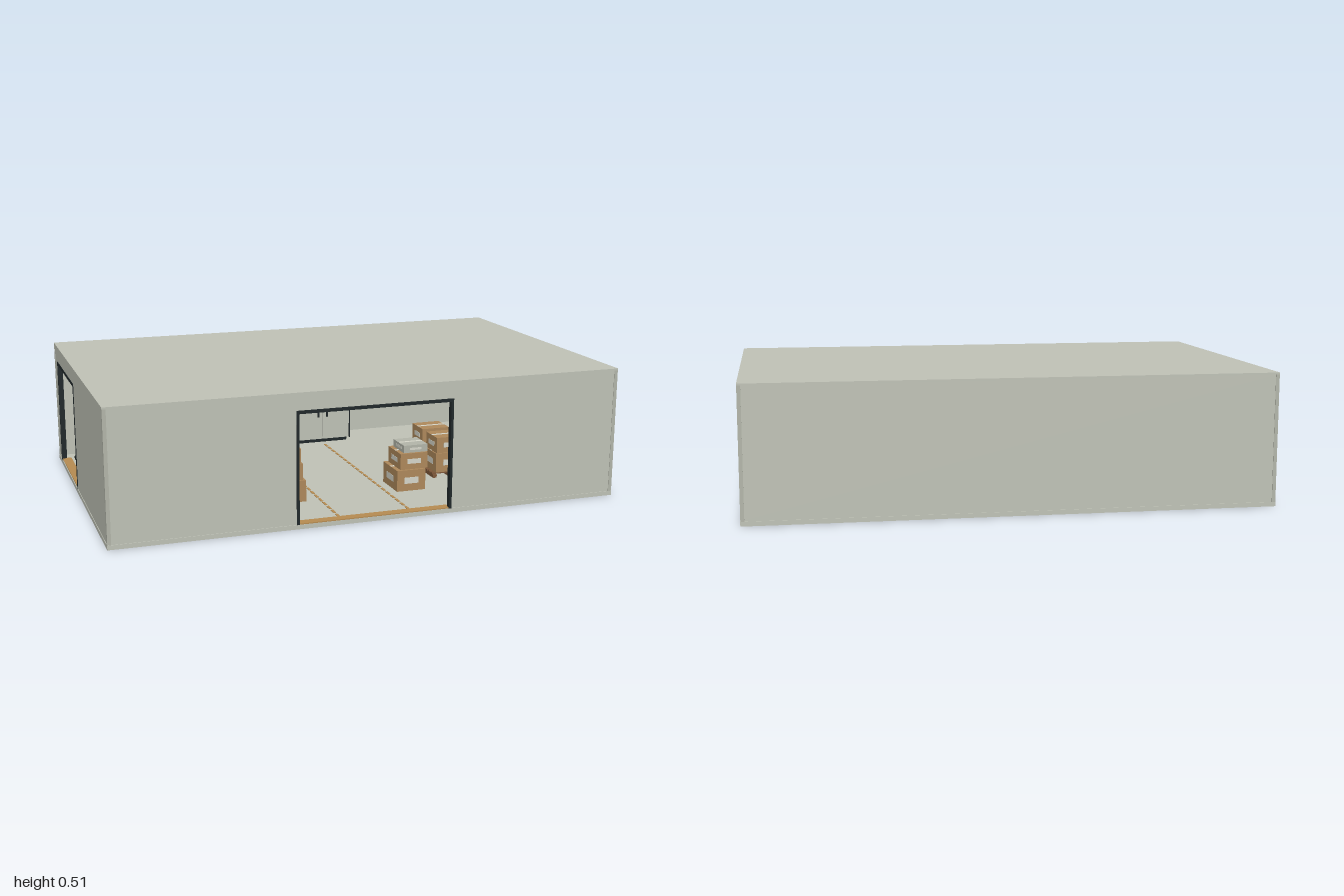
import * as THREE from 'three';

const mat = (name, color, side = THREE.FrontSide) => {
  const m = new THREE.MeshStandardMaterial({ color, side });
  m.name = name;
  return m;
};

export function createModel() {
  const wall = mat('pale wall', 0xc1c4b8);
  const trim = mat('grey trim', 0xb4b7ab);
  const dark = mat('dark metal', 0x20282a);
  const card = mat('cardboard', 0xb08a5c);
  const wood = mat('pallet wood', 0x80593a);
  const label = mat('paper label', 0xd9d9cc);
  const cloth = mat('sack cloth', 0xe2e3de);
  const stripe = mat('floor marking', 0xb88d52);

  const model = new THREE.Group();
  model.name = 'warehouse';

  // Box given by its minimum and maximum corners
  const span = (parent, name, m, x0, x1, y0, y1, z0, z1) => {
    const mesh = new THREE.Mesh(new THREE.BoxGeometry(x1 - x0, y1 - y0, z1 - z0), m);
    mesh.position.set((x0 + x1) / 2, (y0 + y1) / 2, (z0 + z1) / 2);
    mesh.name = name;
    parent.add(mesh);
    return mesh;
  };
  const group = (name, x = 0, y = 0, z = 0) => {
    const g = new THREE.Group();
    g.name = name;
    g.position.set(x, y, z);
    model.add(g);
    return g;
  };

  // Shell: slab, roof, walls around the two doorways
  const F = 0.017, T = 0.505, D = 0.44, X = 0.998, Z = 0.62, W = 0.015;
  const shell = group('shell');
  span(shell, 'floorSlab', wall, -1, 1, 0, F, -0.623, 0.623);
  span(shell, 'roof', wall, -1, 1, T, 0.512, -0.623, 0.623);
  span(shell, 'backWall', wall, -X, X, F, T, -Z, -Z + W);
  span(shell, 'leftWall', wall, X - W, X, F, T, -Z + W, Z - W);
  span(shell, 'frontWallRightPart', wall, -X, -0.305, F, T, Z - W, Z);
  span(shell, 'frontWallLeftPart', wall, 0.305, X, F, T, Z - W, Z);
  span(shell, 'frontLintel', wall, -0.305, 0.305, D, T, Z - W, Z);
  span(shell, 'sideWallBackPart', wall, -X, -X + W, F, T, -Z + W, -0.54);
  span(shell, 'sideWallFrontPart', wall, -X, -X + W, F, T, -0.08, Z - W);
  span(shell, 'sideLintel', wall, -X, -X + W, D, T, -0.54, -0.08);
  for (const sx of [-1, 1]) for (const sz of [-1, 1]) {
    const post = span(shell, 'cornerTrim', trim, -0.007, 0.007, F, T, -0.007, 0.007);
    post.position.x = sx * 0.9925;
    post.position.z = sz * 0.615;
  }

  // Door frames, built facing +z, with threshold
  const doorFrame = (name, half) => {
    const g = group(name);
    for (const s of [-1, 1]) {
      span(g, 'jamb', dark, s * half - 0.005, s * half + 0.005, F, D + 0.005, -0.016, 0.005);
    }
    span(g, 'header', dark, -half, half, D - 0.007, D + 0.005, -0.016, 0.005);
    span(g, 'threshold', stripe, -half, half, F, F + 0.004, -0.035, 0.002);
    return g;
  };
  doorFrame('frontDoorway', 0.302).position.z = Z;
  const side = doorFrame('sideDoorway', 0.227);
  side.position.set(-X + 0.003, 0, -0.31);
  side.rotation.y = -Math.PI / 2;
  span(side, 'floorRail', dark, -0.22, 0.22, F, F + 0.012, -0.06, -0.048);

  // Dashed lane lines
  const lanes = group('laneLines');
  for (const x of [-0.13, 0.15]) for (let z = -0.4; z < 0.56; z += 0.05) {
    span(lanes, 'laneDash', stripe, x - 0.005, x + 0.005, F, F + 0.002, z, z + 0.035);
  }

  // Two double-door cabinets on the back wall
  for (const s of [-1, 1]) {
    const c = group('cabinet', s * 0.15, F, -0.52);
    span(c, 'cabinetBody', wall, -0.13, 0.13, 0.015, 0.32, -0.08, 0.075);
    span(c, 'cabinetTop', dark, -0.133, 0.133, 0.318, 0.33, -0.08, 0.085);
    span(c, 'cabinetPlinth', dark, -0.12, 0.12, 0, 0.016, -0.07, 0.07);
    for (const d of [-1, 1]) {
      span(c, 'cabinetDoor', wall, d * 0.0645 - 0.0625, d * 0.0645 + 0.0625, 0.025, 0.31, 0.075, 0.083);
      span(c, 'cabinetEdge', dark, d * 0.131 - 0.002, d * 0.131 + 0.002, 0.015, 0.32, 0.06, 0.084);
      span(c, 'handle', dark, d * 0.02 - 0.003, d * 0.02 + 0.003, 0.12, 0.21, 0.083, 0.093);
    }
    span(c, 'doorGap', dark, -0.001, 0.001, 0.025, 0.31, 0.076, 0.08);
  }

  // Cardboard box with tape and a label on every side; y is its underside
  const carton = (x, y, z, w, h, d, m = card) => {
    const g = group('carton', x, y, z);
    span(g, 'cartonBody', m, -w / 2, w / 2, 0, h, -d / 2, d / 2);
    span(g, 'tape', label, -w / 2, w / 2, h, h + 0.001, -0.006, 0.006);
    for (const s of [-1, 1]) {
      span(g, 'endLabel', label, -w / 4, w / 4, h * 0.35, h * 0.65, s * d / 2 - 0.001, s * d / 2 + 0.001);
      span(g, 'sideLabel', label, s * w / 2 - 0.001, s * w / 2 + 0.001, h * 0.35, h * 0.65, -d / 4, d / 4);
    }
  };
  // Stacks beside the lane
  carton(-0.25, F, 0.29, 0.125, 0.085, 0.15);
  carton(-0.26, 0.102, 0.29, 0.125, 0.065, 0.13);
  carton(-0.26, 0.167, 0.29, 0.115, 0.058, 0.12);
  carton(0.25, F, 0.29, 0.12, 0.085, 0.15);
  carton(0.265, 0.102, 0.29, 0.115, 0.065, 0.13);
  carton(0.275, 0.167, 0.29, 0.1, 0.03, 0.11, trim);

  // Slatted pallet
  const pallet = (x, z, w, d) => {
    const g = group('pallet', x, F, z);
    for (const s of [-1, 0, 1]) {
      span(g, 'runner', wood, s * w * 0.44 - 0.008, s * w * 0.44 + 0.008, 0, 0.014, -d / 2, d / 2);
    }
    for (let i = 0; i < 5; i++) {
      const z0 = -d / 2 + i * d / 5;
      span(g, 'slat', wood, -w / 2, w / 2, 0.014, 0.02, z0, z0 + d / 5 - 0.008);
    }
  };
  // Sacks on a pallet behind the front wall
  pallet(-0.41, 0.48, 0.2, 0.2);
  for (let layer = 0; layer < 3; layer++) for (const sx of [-1, 1]) for (const sz of [-1, 1]) {
    const sack = new THREE.Mesh(new THREE.SphereGeometry(1, 16, 10), cloth);
    sack.scale.set(0.052, 0.024, 0.055);
    sack.position.set(-0.41 + sx * 0.046, 0.06 + layer * 0.04, 0.48 + sz * 0.048);
    sack.name = 'sack';
    model.add(sack);
  }

  // Storage racks with cartons
  const rack = (x, z, w, d) => {
    const g = group('rack', x, F, z);
    for (const sx of [-1, 1]) for (const sz of [-1, 1]) {
      const p = span(g, 'rackPost', dark, -0.005, 0.005, 0, 0.34, -0.005, 0.005);
      p.position.x = sx * w / 2;
      p.position.z = sz * d / 2;
    }
    for (const y of [0.03, 0.14, 0.25]) {
      span(g, 'shelf', wood, -w / 2, w / 2, y, y + 0.01, -d / 2, d / 2);
      const n = Math.round(Math.max(w, d) / 0.13);
      for (let i = 0; i < n; i++) {
        const t = (i + 0.5) / n - 0.5;
        if (w > d) carton(x + t * w, F + y + 0.01, z, 0.1, 0.07, d * 0.8);
        else carton(x, F + y + 0.01, z + t * d, w * 0.8, 0.07, 0.1);
      }
    }
  };
  rack(-0.72, 0.53, 0.36, 0.12);
  rack(0.72, 0.53, 0.4, 0.12);
  rack(0.9, -0.1, 0.12, 0.65);

  // Pallet loads in the middle of the floor
  for (const s of [-1, 1]) for (const z of [0.02, 0.17]) {
    pallet(s * 0.48, z, 0.16, 0.13);
    carton(s * 0.48, 0.037, z, 0.13, 0.08, 0.12);
    carton(s * 0.48, 0.117, z, 0.12, 0.065, 0.11);
  }

  // Platform trolley near the side doorway
  const cart = group('trolley', -0.78, F, -0.01);
  span(cart, 'platform', dark, -0.065, 0.065, 0.022, 0.032, -0.085, 0.085);
  for (const sx of [-1, 1]) {
    for (const sz of [-1, 1]) {
      const wheel = new THREE.Mesh(new THREE.CylinderGeometry(0.011, 0.011, 0.01, 12), dark);
      wheel.rotation.z = Math.PI / 2;
      wheel.position.set(sx * 0.05, 0.011, sz * 0.065);
      wheel.name = 'wheel';
      cart.add(wheel);
    }
    span(cart, 'handlePost', dark, sx * 0.06 - 0.003, sx * 0.06 + 0.003, 0.03, 0.16, 0.078, 0.084);
  }
  span(cart, 'handleBar', dark, -0.063, 0.063, 0.157, 0.163, 0.078, 0.084);
  carton(-0.78, 0.049, -0.02, 0.1, 0.07, 0.11);

  return model;
}
